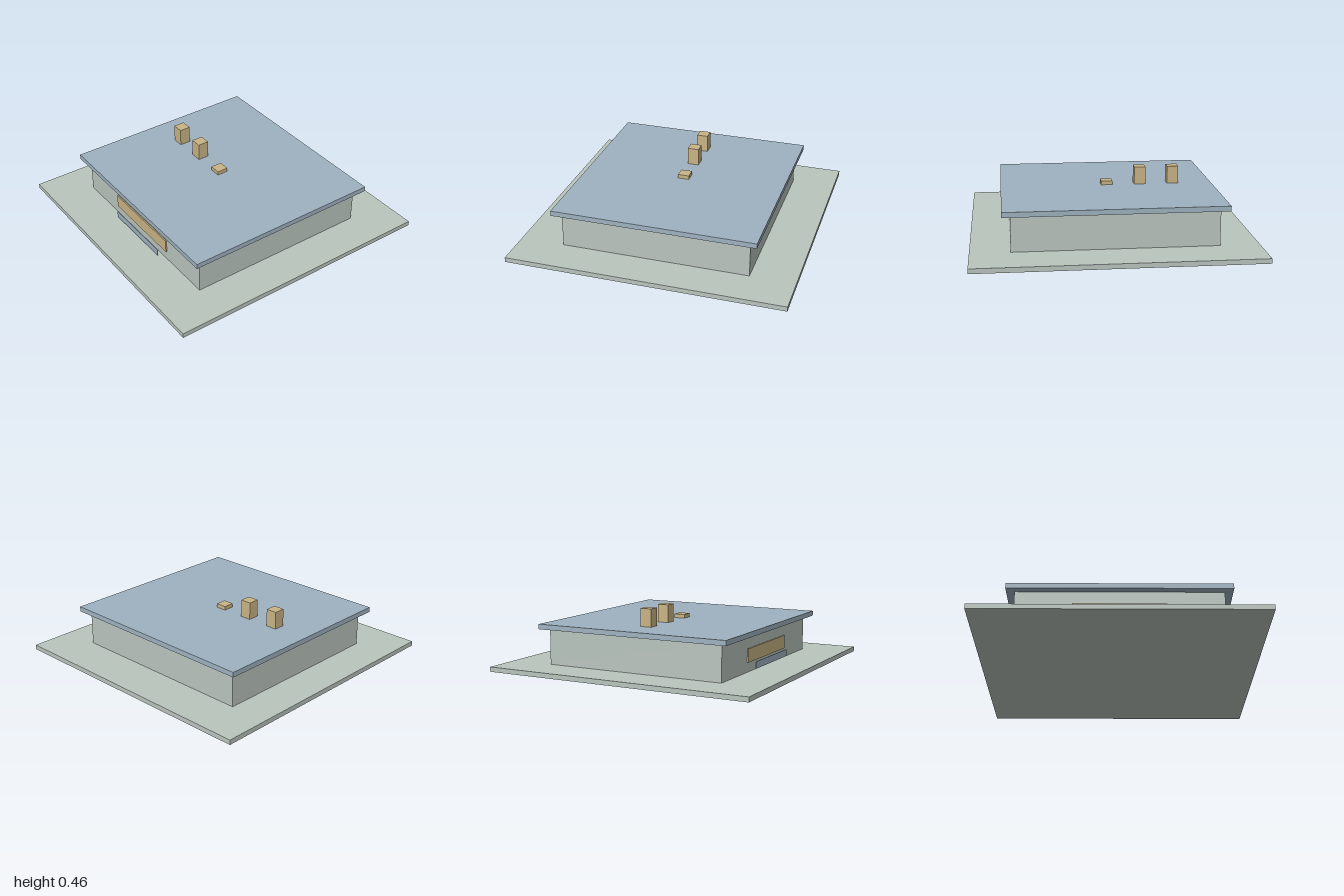
import * as THREE from 'three';

export function createModel() {
  const model = new THREE.Group();
  const material = (name, color) => {
    const m = new THREE.MeshStandardMaterial({ color });
    m.name = name;
    return m;
  };
  const sage = material('sage', 0xbac5be);
  const blue = material('slateBlue', 0x9fb2c0);
  const tan = material('tan', 0xc9b485);

  // Box given by its x centre, bottom and top heights, and z centre
  const box = (name, mat, w, d, y0, y1, x = 0, z = 0) => {
    const mesh = new THREE.Mesh(new THREE.BoxGeometry(w, y1 - y0, d), mat);
    mesh.position.set(x, (y0 + y1) / 2, z);
    mesh.name = name;
    model.add(mesh);
  };

  // Ground slab, walls and overhanging flat roof
  box('groundSlab', sage, 2, 2, 0, 0.035);
  box('walls', sage, 1.44, 1.356, 0.035, 0.293);
  box('roof', blue, 1.555, 1.47, 0.293, 0.33);

  // Front panels: a sign board on the wall and a thin strip standing ahead of it
  box('signBoard', tan, 0.648, 0.009, 0.104, 0.201, 0, 0.6845);
  box('frontStrip', blue, 0.542, 0.005, 0.056, 0.106, 0, 0.723);

  // Row of roof stacks, the middle one cut short
  for (const [x, top] of [[-0.49, 0.458], [-0.246, 0.458], [0, 0.358]]) {
    box('roofStack', tan, 0.083, 0.083, 0.33, top, x);
  }
  return model;
}
